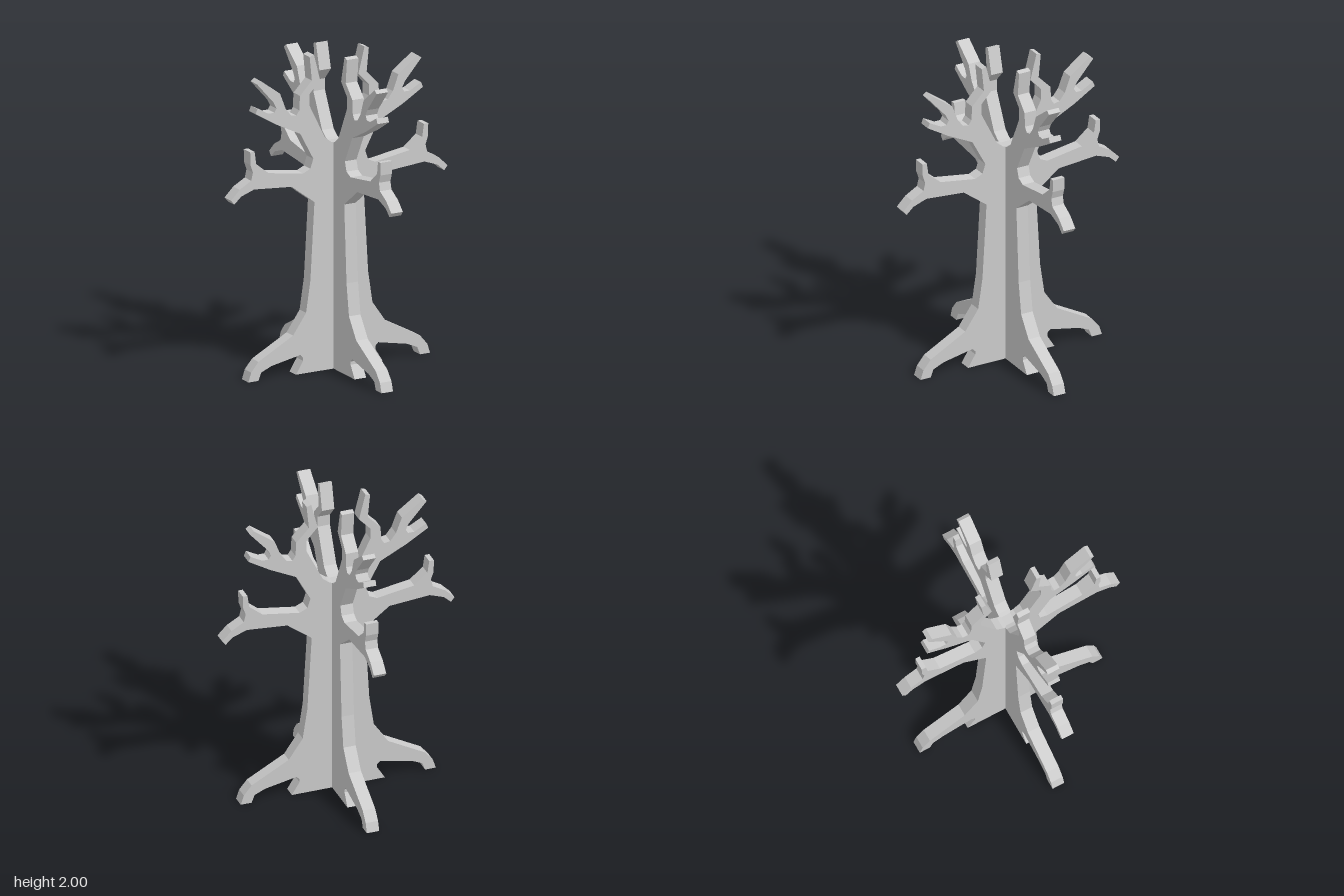
import * as THREE from 'three';

const THICKNESS = 0.08;

// Half silhouettes, listed from the base centre outward and up to the crotch
const root = [
  [0.30, 0], [0.25, 0.08], [0.25, 0.1], [0.27, 0.12], [0.47, 0.08], [0.54, 0.05], [0.56, 0],
  [0.63, 0], [0.61, 0.06], [0.56, 0.12], [0.32, 0.25],
];
const trunk = [[0.23, 0.38], [0.2, 0.58], [0.172, 1.07]];
const lowBranch = [
  [0.33, 1.19], [0.59, 1.212], [0.68, 1.18], [0.727, 1.137], [0.75, 1.165], [0.69, 1.225],
  [0.61, 1.27], [0.598, 1.32], [0.615, 1.37], [0.617, 1.45], [0.587, 1.45], [0.575, 1.37],
  [0.49, 1.30], [0.25, 1.262], [0.2, 1.285], [0.18, 1.345],
];
const forkedBranch = [
  [0.27, 1.515], [0.44, 1.6], [0.58, 1.685], [0.567, 1.717], [0.49, 1.675], [0.45, 1.675],
  [0.435, 1.7], [0.455, 1.74], [0.57, 1.872], [0.545, 1.89], [0.41, 1.79], [0.372, 1.69],
  [0.335, 1.642], [0.297, 1.635], [0.277, 1.665],
];
const topBranch = [
  [0.272, 1.755], [0.19, 1.84], [0.205, 1.99], [0.175, 2], [0.133, 1.835],
  [0.207, 1.755], [0.207, 1.685], [0.1, 1.468], [0.055, 1.432],
];

// Flat tree-shaped board, mirrored about its centre line
function boardGeometry() {
  const half = [...root, ...trunk, ...lowBranch, ...forkedBranch, ...topBranch];
  const mirrored = half.map(([x, y]) => [-x, y]).reverse();
  const outline = [...half, [0.03, 1.425], [-0.03, 1.425], ...mirrored];
  const shape = new THREE.Shape(outline.map(([x, y]) => new THREE.Vector2(x, y)));
  const geometry = new THREE.ExtrudeGeometry(shape, { depth: THICKNESS, bevelEnabled: false });
  return geometry.translate(0, 0, -THICKNESS / 2);
}

export function createModel() {
  const group = new THREE.Group();
  group.name = 'slottedTree';
  const material = new THREE.MeshStandardMaterial({ color: 0xcccccc, flatShading: true });
  const geometry = boardGeometry();

  // Two identical boards crossing at right angles
  ['sidewaysBoard', 'frontToBackBoard'].forEach((name, i) => {
    const board = new THREE.Mesh(geometry, material);
    board.name = name;
    board.rotation.y = i * Math.PI / 2;
    group.add(board);
  });
  return group;
}
